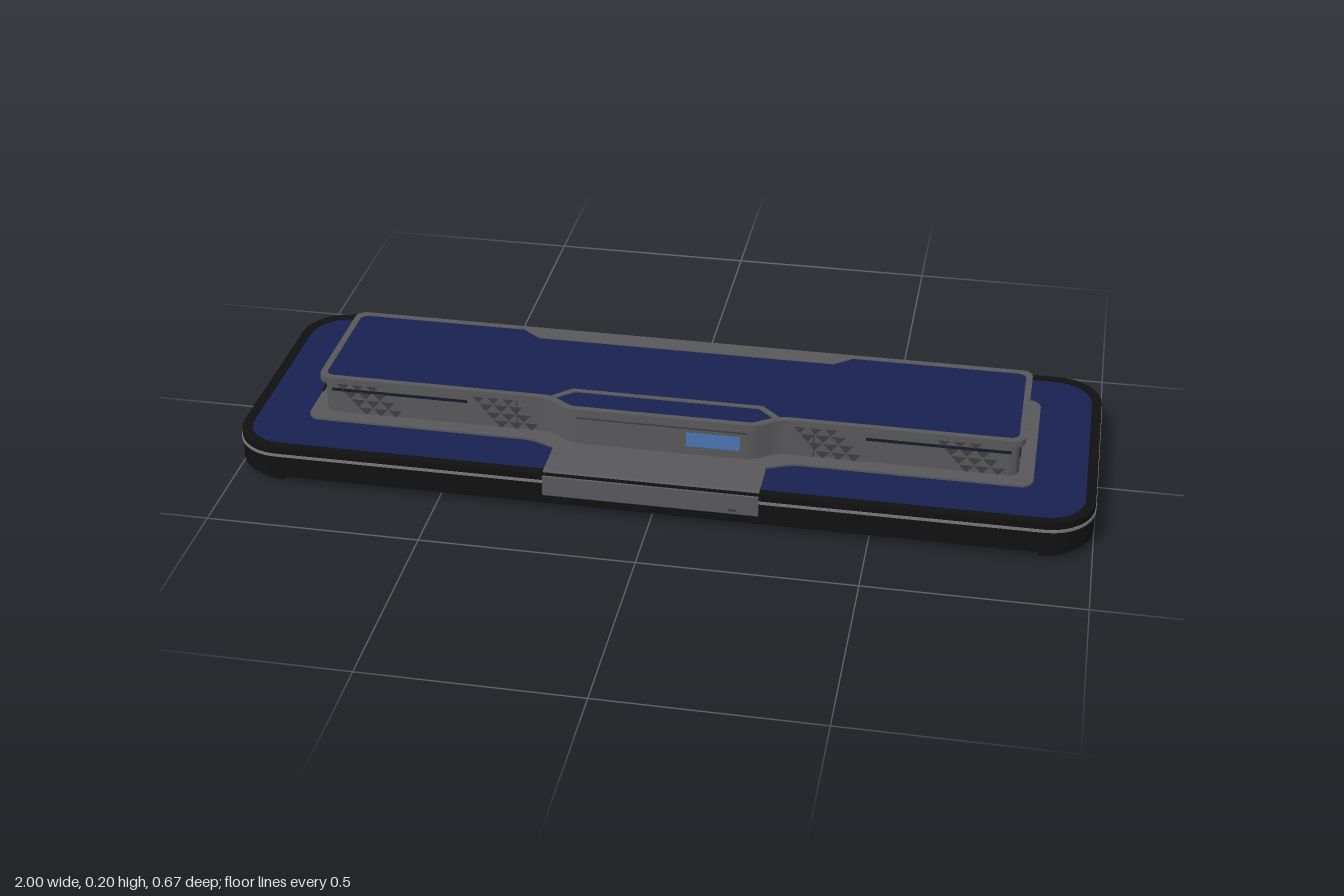
import * as THREE from 'three';
import { toCreasedNormals } from 'three/addons/utils/BufferGeometryUtils.js';

const mat = (color) => new THREE.MeshStandardMaterial({ color, side: THREE.DoubleSide });
const black = mat(0x111111), navy = mat(0x182250), grey = mat(0x58585b);
const darkGrey = mat(0x3e3e41), silver = mat(0x77777a), slitBlue = mat(0x141a28), screenBlue = mat(0x4a74b4);

// Closed outline from [x, z] points, each corner rounded by r
function outline(points, r, Type = THREE.Shape) {
  const s = new Type();
  const p = points.map(([x, z]) => new THREE.Vector2(x, -z));
  p.forEach((c, i) => {
    const prev = p[(i + p.length - 1) % p.length], next = p[(i + 1) % p.length];
    const a = prev.clone().sub(c).setLength(r).add(c);
    const b = next.clone().sub(c).setLength(r).add(c);
    if (i === 0) s.moveTo(a.x, a.y); else s.lineTo(a.x, a.y);
    // Cubic handles approximate a circular corner
    const h1 = a.clone().lerp(c, 0.55), h2 = b.clone().lerp(c, 0.55);
    s.bezierCurveTo(h1.x, h1.y, h2.x, h2.y, b.x, b.y);
  });
  s.closePath();
  return s;
}

const rect = (w, d) => [[-w, d], [w, d], [w, -d], [-w, -d]];

// Long rectangle with a central bulge on its front edge
const bulged = (w, back, front, bulge, wide, narrow) => [
  [-w, front], [-wide, front], [-narrow, bulge], [narrow, bulge], [wide, front],
  [w, front], [w, back], [-w, back],
];

// Horizontal slab between heights y0 and y1
function slab(name, shape, y0, y1, material) {
  const g = new THREE.ExtrudeGeometry(shape, { depth: y1 - y0, bevelEnabled: false, curveSegments: 8 });
  g.rotateX(-Math.PI / 2);
  const m = new THREE.Mesh(toCreasedNormals(g, 0.6), material);
  m.position.y = y0;
  m.name = name;
  return m;
}

function ring(name, outer, ro, inner, ri, y0, y1, material) {
  const s = outline(outer, ro);
  s.holes.push(outline(inner, ri, THREE.Path));
  return slab(name, s, y0, y1, material);
}

function box(name, w, h, d, x, y, z, material) {
  const m = new THREE.Mesh(new THREE.BoxGeometry(w, h, d), material);
  m.position.set(x, y, z);
  m.name = name;
  return m;
}

// Slanted patch of downward triangles, lying in the xy plane
function trianglePatch(lean) {
  const shapes = [];
  for (let row = 0; row < 4; row++) {
    for (let i = 0; i < 3; i++) {
      const x = (i - 1) * 0.036 + lean * (row - 1.5) * 0.018;
      const y = 0.183 - row * 0.021;
      shapes.push(new THREE.Shape([
        new THREE.Vector2(x - 0.017, y), new THREE.Vector2(x, y - 0.019), new THREE.Vector2(x + 0.017, y),
      ]));
    }
  }
  const m = new THREE.Mesh(new THREE.ShapeGeometry(shapes), darkGrey);
  m.name = 'trianglePattern';
  return m;
}

export function createModel() {
  const model = new THREE.Group();
  const add = (...parts) => model.add(...parts);

  // Hollow base: rim wall, accent stripe and top plate
  add(
    ring('baseRim', rect(0.998, 0.33), 0.11, rect(0.975, 0.307), 0.09, 0.022, 0.1, black),
    ring('accentStripe', rect(1, 0.332), 0.11, rect(0.99, 0.322), 0.1, 0.076, 0.083, silver),
    slab('baseTop', outline(rect(0.978, 0.31), 0.09), 0.09, 0.098, navy),
    ring('lowerLip', rect(0.98, 0.31), 0.1, rect(0.945, 0.275), 0.07, 0.018, 0.024, black),
    ring('lowerSkirt', rect(0.95, 0.28), 0.08, rect(0.942, 0.272), 0.075, 0.002, 0.02, navy),
  );

  // Curved corner feet
  for (const sx of [-1, 1]) {
    for (const sz of [-1, 1]) {
      const s = new THREE.Shape();
      const start = Math.atan2(-sz, sx) - Math.PI / 4;
      s.absarc(0, 0, 0.1, start, start + Math.PI / 2, false);
      s.absarc(0, 0, 0.06, start + Math.PI / 2, start, true);
      const foot = slab('cornerFoot', s, 0, 0.022, black);
      foot.position.x = sx * 0.88;
      foot.position.z = sz * 0.21;
      add(foot);
    }
  }

  // Raised body with its flange on the base
  add(
    slab('flange', outline(bulged(0.855, -0.2, 0.188, 0.218, 0.3, 0.25), 0.03), 0.096, 0.103, grey),
    slab('body', outline(bulged(0.82, -0.16, 0.15, 0.19, 0.265, 0.215), 0.025), 0.1, 0.188, grey),
  );

  // Cap: grey rim around a navy top
  const capOuter = bulged(0.83, -0.17, 0.16, 0.2, 0.275, 0.225);
  const capInner = bulged(0.815, -0.155, 0.145, 0.185, 0.268, 0.218);
  add(
    ring('capRim', capOuter, 0.025, capInner, 0.02, 0.185, 0.2, grey),
    slab('capTop', outline(capInner, 0.018), 0.186, 0.198, navy),
  );

  // Trapezoid insert at the back and hexagonal window frame at the front
  add(
    slab('backInsert', outline([[-0.36, -0.12], [0.36, -0.12], [0.42, -0.168], [-0.42, -0.168]], 0.004), 0.19, 0.2, grey),
    ring('windowFrame',
      [[-0.275, 0.155], [-0.22, 0.2], [0.22, 0.2], [0.275, 0.155], [0.225, 0.107], [-0.225, 0.107]], 0.004,
      [[-0.255, 0.155], [-0.212, 0.185], [0.212, 0.185], [0.255, 0.155], [0.217, 0.119], [-0.217, 0.119]], 0.004,
      0.19, 0.2005, grey),
  );

  // Front latch panel folding over the base edge
  const profile = new THREE.Shape([
    [0.215, 0.092], [0.215, 0.103], [0.318, 0.103], [0.333, 0.094], [0.333, 0.045], [0.328, 0.04], [0.3, 0.04], [0.3, 0.092],
  ].map(([z, y]) => new THREE.Vector2(-z, y)));
  const panelGeo = new THREE.ExtrudeGeometry(profile, { depth: 0.5, bevelEnabled: false });
  panelGeo.translate(0, 0, -0.25).rotateY(Math.PI / 2);
  const panel = new THREE.Mesh(panelGeo, grey);
  panel.name = 'frontPanel';
  add(panel, box('panelButton', 0.018, 0.006, 0.002, 0.19, 0.054, 0.333, darkGrey));

  // Display on the bulge
  add(
    box('displayFrame', 0.4, 0.004, 0.002, 0, 0.172, 0.19, darkGrey),
    box('display', 0.125, 0.036, 0.003, 0.122, 0.143, 0.19, screenBlue),
  );

  // Slits and triangle patterns on the long sides and ends
  for (const s of [-1, 1]) {
    add(
      box('frontSlit', 0.33, 0.007, 0.003, s * 0.635, 0.164, 0.15, slitBlue),
      box('backSlit', 0.33, 0.007, 0.003, s * 0.635, 0.164, -0.16, slitBlue),
      box('endSlit', 0.003, 0.009, 0.242, s * 0.82, 0.163, 0.036, slitBlue),
      box('bodySeam', 0.003, 0.084, 0.002, s * 0.35, 0.145, 0.15, darkGrey),
    );
    for (const x of [0.38, 0.71]) {
      const front = trianglePatch(1);
      front.position.set(s * x, 0, 0.1515);
      const back = trianglePatch(-1);
      back.rotation.y = Math.PI;
      back.position.set(s * x, 0, -0.1615);
      add(front, back);
    }
    const end = trianglePatch(s);
    end.rotation.y = s * Math.PI / 2;
    end.position.set(s * 0.8215, 0, -0.035);
    add(end);
  }
  return model;
}
